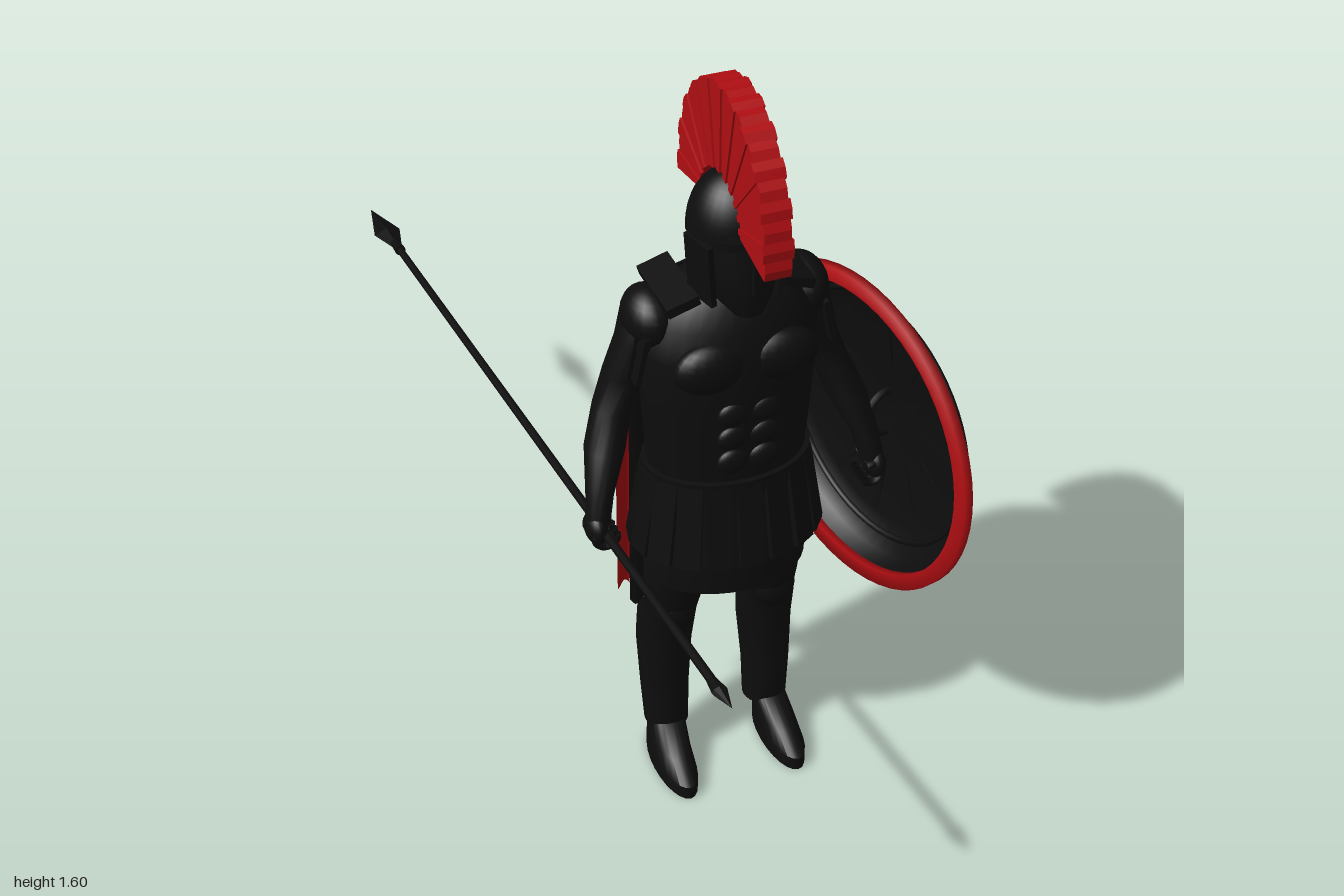
import * as THREE from 'three';
import { toCreasedNormals } from 'three/addons/utils/BufferGeometryUtils.js';

const black = new THREE.MeshStandardMaterial({ color: 0x0d0d0d, side: THREE.DoubleSide });
black.name = 'black';
const red = new THREE.MeshStandardMaterial({ color: 0xb00e12, side: THREE.DoubleSide });
red.name = 'crimson';

function add(parent, name, geo, mat = black, pos = [0, 0, 0], scale = [1, 1, 1]) {
  const m = new THREE.Mesh(geo, mat);
  m.name = name;
  m.position.set(...pos);
  m.scale.set(...scale);
  parent.add(m);
  return m;
}

// Closed body from ellipses stacked upward: [y, centre x, centre z, radius x, radius z]
function loft(rings, n = 24) {
  const pos = [], idx = [];
  for (const [y, cx, cz, rx, rz] of rings)
    for (let i = 0; i < n; i++) {
      const a = (i / n) * Math.PI * 2;
      pos.push(cx + rx * Math.cos(a), y, cz + rz * Math.sin(a));
    }
  const last = rings.length - 1, c = rings.length * n;
  for (const r of [rings[0], rings[last]]) pos.push(r[1], r[0], r[2]);
  for (let i = 0; i < n; i++) {
    const j = (i + 1) % n;
    for (let k = 0; k < last; k++) {
      const a = k * n + i, b = k * n + j;
      idx.push(a, a + n, b, b, a + n, b + n);
    }
    idx.push(c, i, j, c + 1, last * n + j, last * n + i);
  }
  const g = new THREE.BufferGeometry();
  g.setAttribute('position', new THREE.Float32BufferAttribute(pos, 3));
  g.setIndex(idx);
  return toCreasedNormals(g, 0.8);
}

const ball = () => new THREE.SphereGeometry(1, 20, 14);

// Ring of tilted hanging strips around an ellipse
function strips(parent, name, count, y, rx, rz, cz, size, tilt, offset = 0) {
  for (let i = 0; i < count; i++) {
    const a = ((i + offset) / count) * Math.PI * 2;
    const m = add(parent, name, new THREE.BoxGeometry(...size), black,
      [rx * Math.sin(a), y, cz + rz * Math.cos(a)]);
    m.rotation.order = 'YXZ';
    m.rotation.y = Math.atan2(Math.sin(a) / rx, Math.cos(a) / rz);
    m.rotation.x = -tilt;
  }
}

// Part of the cloak between two fractions of its width
function cloakPanel(u0, u1, top, bottom, hem) {
  const g = new THREE.PlaneGeometry(1, 1, 32, 24), p = g.attributes.position;
  for (let i = 0; i < p.count; i++) {
    const u = u0 + (u1 - u0) * (p.getX(i) + 0.5), v = p.getY(i) + 0.5;
    const low = bottom + hem * Math.sin(u * 19) - 0.02 * (1 - u * u);
    const y = low + (top - low) * v;
    const w = 0.185 - 0.055 * THREE.MathUtils.smoothstep(y, 0.95, 1.19);
    const shoulder = 0.09 * THREE.MathUtils.smoothstep(y, 1.04, 1.2);
    p.setXYZ(i, u * w, y, 0.203 + 0.022 * u ** 4 + shoulder + 0.005 * Math.sin(u * 24) * (1 - v));
  }
  g.computeVertexNormals();
  return g;
}

function buildHead(root) {
  const head = new THREE.Group();
  head.name = 'head';
  root.add(head);
  add(head, 'neck', loft([[1.13, 0, 0.33, 0.075, 0.065], [1.2, 0, 0.34, 0.055, 0.055], [1.27, 0, 0.35, 0.055, 0.06]]));
  add(head, 'face', loft([[1.17, 0, 0.44, 0.03, 0.028], [1.2, 0, 0.4, 0.06, 0.072], [1.25, 0, 0.382, 0.075, 0.092],
    [1.34, 0, 0.372, 0.078, 0.086]]));
  add(head, 'helmetBowl', new THREE.SphereGeometry(1, 28, 12, 0, Math.PI * 2, 0, Math.PI / 2), black,
    [0, 1.325, 0.368], [0.088, 0.108, 0.088]);
  add(head, 'helmetBrim', loft([[1.31, 0, 0.37, 0.09, 0.092], [1.328, 0, 0.37, 0.09, 0.092]]));
  add(head, 'noseGuard', new THREE.BoxGeometry(0.012, 0.1, 0.012), black, [0, 1.275, 0.478]);
  for (const s of [-1, 1]) {
    const cheek = add(head, 'cheekGuard', new THREE.BoxGeometry(0.012, 0.13, 0.075), black, [s * 0.08, 1.255, 0.405]);
    cheek.rotation.set(0, -s * 0.25, -s * 0.08);
  }
  // Crest made of radiating tufts
  const n = 22, from = -0.12, step = (Math.PI + 0.24) / n;
  const at = (a, rx, ry) => [rx * Math.cos(a), ry * Math.sin(a)];
  for (let i = 0; i < n; i++) {
    const a = from + i * step, b = a + step, shape = new THREE.Shape();
    shape.moveTo(...at(a, 0.094, 0.075));
    shape.lineTo(...at(a, 0.208, 0.25));
    shape.lineTo(...at((a + b) / 2, 0.211, 0.254));
    shape.lineTo(...at(b, 0.208, 0.25));
    shape.lineTo(...at(b, 0.094, 0.075));
    const d = i % 2 ? 0.06 : 0.052;
    const g = new THREE.ExtrudeGeometry(shape, { depth: d, bevelEnabled: false });
    g.translate(0, 0, -d / 2).rotateY(-Math.PI / 2);
    add(head, 'crestTuft', g, red, [0, 1.35, 0.367]);
  }
}

function buildBody(root) {
  const body = new THREE.Group();
  body.name = 'body';
  root.add(body);
  add(body, 'cuirass', loft([[0.74, 0, 0.345, 0.155, 0.112], [0.85, 0, 0.345, 0.165, 0.116], [0.95, 0, 0.345, 0.172, 0.12],
    [1.06, 0, 0.345, 0.178, 0.122], [1.13, 0, 0.34, 0.165, 0.11], [1.18, 0, 0.335, 0.13, 0.085], [1.205, 0, 0.335, 0.07, 0.06]], 32));
  add(body, 'belt', loft([[0.755, 0, 0.345, 0.168, 0.124], [0.79, 0, 0.345, 0.17, 0.125]], 32));
  add(body, 'tunic', loft([[0.52, 0, 0.345, 0.165, 0.125], [0.62, 0, 0.345, 0.168, 0.125], [0.77, 0, 0.345, 0.155, 0.115]], 32));
  strips(body, 'skirtStrip', 18, 0.69, 0.178, 0.132, 0.345, [0.05, 0.18, 0.012], 0.16);
  strips(body, 'skirtUnderStrip', 18, 0.68, 0.17, 0.125, 0.345, [0.045, 0.17, 0.01], 0.12, 0.5);
  for (const s of [-1, 1]) {
    add(body, 'chestMuscle', ball(), black, [s * 0.07, 1.055, 0.44], [0.075, 0.055, 0.036]);
    for (let i = 0; i < 3; i++)
      add(body, 'bellyMuscle', ball(), black, [s * 0.032, 0.84 + i * 0.055, 0.458], [0.032, 0.027, 0.014]);
    const strap = add(body, 'shoulderStrap', new THREE.BoxGeometry(0.065, 0.02, 0.16), black, [s * 0.115, 1.185, 0.335]);
    strap.rotation.z = -s * 0.3;
    add(body, 'shoulderCap', ball(), black, [s * 0.155, 1.125, 0.33], [0.05, 0.06, 0.068]);
    for (let i = -2; i <= 2; i++) {
      const flap = add(body, 'shoulderFlap', new THREE.BoxGeometry(0.01, 0.1, 0.028), black,
        [s * (0.205 - 0.008 * Math.abs(i)), 1.065, 0.33 + i * 0.027]);
      flap.rotation.z = s * 0.2;
    }
  }
}

function buildLimbs(root) {
  for (const s of [-1, 1]) {
    const leg = new THREE.Group();
    leg.name = s > 0 ? 'leftLeg' : 'rightLeg';
    root.add(leg);
    add(leg, 'thigh', loft([[0.36, s * 0.108, 0.315, 0.05, 0.05], [0.45, s * 0.103, 0.33, 0.06, 0.06],
      [0.56, s * 0.092, 0.34, 0.074, 0.078], [0.66, s * 0.085, 0.345, 0.075, 0.085]]));
    add(leg, 'greave', loft([[0.085, s * 0.11, 0.31, 0.046, 0.046], [0.18, s * 0.112, 0.304, 0.05, 0.052],
      [0.3, s * 0.11, 0.295, 0.057, 0.06], [0.37, s * 0.108, 0.305, 0.06, 0.06], [0.42, s * 0.107, 0.33, 0.048, 0.045]]));
    add(leg, 'kneeGuard', ball(), black, [s * 0.107, 0.41, 0.35], [0.045, 0.05, 0.035]);
    add(leg, 'foot', loft([[0, s * 0.12, 0.37, 0.039, 0.11], [0.03, s * 0.12, 0.37, 0.039, 0.11],
      [0.06, s * 0.118, 0.345, 0.037, 0.083], [0.1, s * 0.112, 0.313, 0.036, 0.042]]));

    const arm = new THREE.Group();
    arm.name = s > 0 ? 'leftArm' : 'rightArm';
    root.add(arm);
    add(arm, 'armAndForearm', loft([[0.73, s * 0.285, 0.405, 0.024, 0.026], [0.78, s * 0.276, 0.39, 0.027, 0.03],
      [0.86, s * 0.25, 0.35, 0.04, 0.043], [0.93, s * 0.225, 0.32, 0.037, 0.042], [1, s * 0.195, 0.312, 0.042, 0.046],
      [1.09, s * 0.168, 0.328, 0.046, 0.052], [1.15, s * 0.15, 0.33, 0.035, 0.04]]));
    add(arm, 'palm', ball(), black, [s * 0.29, 0.715, 0.405], [0.022, 0.035, 0.036]);
    for (let i = 0; i < 4; i++) {
      const finger = add(arm, 'finger', new THREE.TorusGeometry(0.022, 0.008, 8, 16, Math.PI * 1.4), black,
        [s * 0.277, 0.703, 0.375 + i * 0.018]);
      finger.rotation.z = s > 0 ? -2.4 : 2;
    }
  }
}

function buildShield(root) {
  const shield = new THREE.Group();
  shield.name = 'shield';
  shield.position.set(0.25, 0.8, 0.39);
  shield.rotation.y = 0.257;
  root.add(shield);
  const turned = (pts) => new THREE.LatheGeometry(pts.map((p) => new THREE.Vector2(...p)), 56).rotateZ(-Math.PI / 2);
  add(shield, 'shieldBowl', turned([[0.315, 0], [0.3, 0.035], [0.27, 0.056], [0.24, 0.068], [0.15, 0.084], [0, 0.092]]));
  add(shield, 'shieldRim', turned([[0.312, -0.01], [0.343, -0.01], [0.343, 0.01], [0.312, 0.014], [0.312, -0.01]]), red);
  add(shield, 'shieldBoss', turned([[0.075, 0.088], [0.07, 0.1], [0.05, 0.102], [0.045, 0.112], [0, 0.118]]));
  add(shield, 'shieldBand', new THREE.TorusGeometry(0.27, 0.007, 8, 56).rotateY(Math.PI / 2), black, [0.056, 0, 0]);
  for (let i = 0; i < 12; i++) {
    const spoke = new THREE.Group();
    spoke.name = 'shieldSpoke';
    spoke.rotation.x = (i / 12) * Math.PI * 2;
    add(spoke, 'spokeRidge', new THREE.BoxGeometry(0.012, 0.14, 0.014), black, [0.083, 0.17, 0]).rotation.z = 0.13;
    shield.add(spoke);
  }
  add(shield, 'shieldGrip', new THREE.TorusGeometry(0.05, 0.008, 8, 20, Math.PI).rotateZ(Math.PI / 2), black, [0.085, 0, 0]);
}

function buildSpear(root) {
  const front = new THREE.Vector3(-0.25, 0.75, 1), back = new THREE.Vector3(-0.345, 0.605, -1);
  const half = front.distanceTo(back) / 2, spear = new THREE.Group();
  spear.name = 'spear';
  spear.position.addVectors(front, back).multiplyScalar(0.5);
  spear.quaternion.setFromUnitVectors(new THREE.Vector3(0, 1, 0), back.clone().sub(front).normalize());
  root.add(spear);
  // Cylinder piece between two points of the spear's length
  const piece = (name, y0, y1, r0, r1, sides, flat) =>
    add(spear, name, toCreasedNormals(new THREE.CylinderGeometry(r1, r0, y1 - y0, sides), 0.7), black,
      [0, (y0 + y1) / 2, 0], [1, 1, flat]);
  piece('shaft', -0.92, 0.83, 0.009, 0.008, 12, 1);
  piece('socket', 0.79, 0.83, 0.012, 0.01, 12, 1);
  piece('bladeBase', 0.81, 0.885, 0.01, 0.03, 4, 0.35);
  piece('bladeTip', 0.885, half, 0.03, 0, 4, 0.35);
  piece('buttBase', -0.95, -0.9, 0.015, 0.008, 8, 0.7);
  piece('buttTip', -half, -0.95, 0, 0.015, 8, 0.7);
}

export function createModel() {
  const root = new THREE.Group();
  root.name = 'armouredSpearman';
  buildHead(root);
  buildBody(root);
  buildLimbs(root);
  add(root, 'cloak', cloakPanel(-0.82, 0.82, 1.2, 0.34, 0.015));
  for (const s of [-1, 1])
    add(root, 'cloakBorder', cloakPanel(s > 0 ? 0.82 : -1, s > 0 ? 1 : -0.82, 0.98, 0.385, 0.012), red);
  buildShield(root);
  buildSpear(root);
  return root;
}
